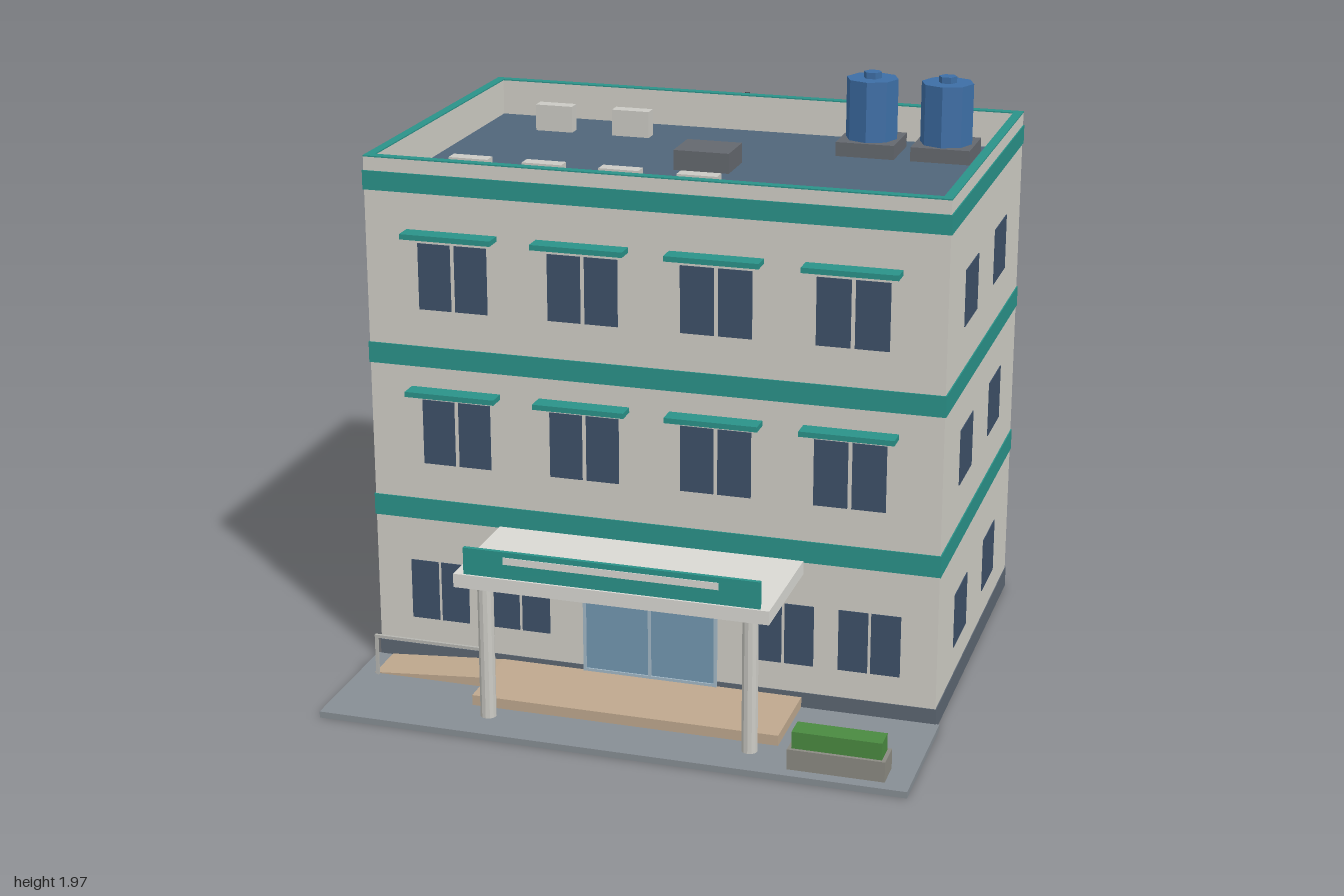
import * as THREE from 'three';

const mat = (color) => new THREE.MeshStandardMaterial({ color, flatShading: true });
const M = {
  wall: mat(0xd0cec6), teal: mat(0x2a9289), dark: mat(0x5c6672), glass: mat(0x3d5068),
  roof: mat(0x50667a), slab: mat(0x878e94), white: mat(0xd9d8d3), tan: mat(0xbfa88e),
  tank: mat(0x3d6ea5), block: mat(0x64686e), unit: mat(0xcbcac4), fan: mat(0x8a8d8e),
  door: mat(0x70777c), entry: mat(0x7397b0), frame: mat(0xa3b8c6), pipe: mat(0x45494e),
  planter: mat(0x8b8a82), hedge: mat(0x4a8a40), metal: mat(0xb5b5b0),
};
// Building footprint
const HX = 0.985, ZF = 0.41, ZB = -0.86, ZC = (ZF + ZB) / 2, TOP = 1.81, ROOF = 1.68;

export function createModel() {
  const root = new THREE.Group();

  const add = (name, geo, material) => {
    const mesh = new THREE.Mesh(geo, material);
    mesh.name = name;
    root.add(mesh);
    return mesh;
  };
  // Box given by its extents on each axis
  const box = (name, material, x0, x1, y0, y1, z0, z1) => {
    const mesh = add(name, new THREE.BoxGeometry(x1 - x0, y1 - y0, z1 - z0), material);
    mesh.position.set((x0 + x1) / 2, (y0 + y1) / 2, (z0 + z1) / 2);
    return mesh;
  };
  const cyl = (name, material, r, sides, x, y0, y1, z, turn = 0) => {
    const mesh = add(name, new THREE.CylinderGeometry(r, r, y1 - y0, sides), material);
    mesh.position.set(x, (y0 + y1) / 2, z);
    mesh.rotation.y = turn;
    return mesh;
  };
  // Rectangular ring around the footprint, from y0 to y1
  const ring = (name, material, y0, y1, out, inset) => {
    const rect = (Cls, off) => {
      const w = HX + off, d = (ZF - ZB) / 2 + off;
      return new Cls([[-w, -d], [w, -d], [w, d], [-w, d]].map(([x, y]) => new THREE.Vector2(x, y)));
    };
    const shape = rect(THREE.Shape, out);
    shape.holes.push(rect(THREE.Path, -inset));
    const geo = new THREE.ExtrudeGeometry(shape, { depth: y1 - y0, bevelEnabled: false });
    geo.rotateX(-Math.PI / 2);
    add(name, geo, material).position.set(0, y0, ZC);
  };

  // Shell, bands and roof
  ring('walls', M.wall, 0, TOP - 0.004, 0, 0.03);
  ring('parapetCap', M.teal, TOP - 0.004, TOP, 0.001, 0.031);
  ring('plinth', M.dark, 0, 0.075, 0.003, 0.005);
  for (const [y0, y1] of [[0.545, 0.62], [1.095, 1.167], [1.695, 1.76]]) ring('floorBand', M.teal, y0, y1, 0.004, 0.01);
  box('roofDeck', M.roof, -HX + 0.02, HX - 0.02, ROOF - 0.03, ROOF, ZB + 0.02, ZF - 0.02);

  // Front windows in pairs of panes, with sun shades on the upper floors
  const pair = (x, w, gap, y0, y1) => {
    for (const s of [-1, 1]) {
      const c = x + s * (w + gap) / 2;
      box('frontWindow', M.glass, c - w / 2, c + w / 2, y0, y1, ZF - 0.01, ZF + 0.003);
    }
  };
  for (const x of [-0.68, -0.227, 0.227, 0.68]) {
    for (const y of [0.75, 1.297]) {
      pair(x, 0.114, 0.014, y, y + 0.228);
      box('sunShade', M.teal, x - 0.158, x + 0.158, y + 0.255, y + 0.273, ZF, ZF + 0.066);
    }
  }
  for (const x of [-0.757, -0.463, 0.463, 0.757]) pair(x, 0.1, 0.01, 0.175, 0.39);

  // Side and back windows
  for (const y of [0.275, 0.86, 1.41]) {
    for (const s of [-1, 1]) for (const z of [0.03, -0.475]) {
      const x = s * (HX - 0.0035);
      box('sideWindow', M.glass, x - 0.0065, x + 0.0065, y - 0.096, y + 0.096, z - 0.105, z + 0.105);
    }
    for (const x of [-0.68, -0.227, 0.227, 0.68]) {
      if (y < 0.5 && x > 0.5) continue;
      box('backWindow', M.glass, x - 0.105, x + 0.105, y - 0.096, y + 0.096, ZB - 0.003, ZB + 0.01);
    }
  }

  // Back door, drain pipe and wall mounted cooling units
  for (const s of [-1, 1]) box('backDoorLeaf', M.door, 0.715 + s * 0.063 - 0.058, 0.715 + s * 0.063 + 0.058, 0.015, 0.37, ZB - 0.006, ZB + 0.01);
  cyl('drainPipe', M.pipe, 0.009, 8, -0.027, 0, TOP, -0.873);
  for (const x of [-0.607, 0.605]) for (const y of [0.635, 1.187]) {
    box('wallUnit', M.unit, x - 0.066, x + 0.066, y, y + 0.09, -0.913, ZB);
    box('wallUnitGrille', M.fan, x - 0.035, x + 0.035, y + 0.015, y + 0.075, -0.915, -0.91);
  }

  // Roof equipment
  for (const [x, z] of [[-0.68, -0.635], [-0.39, -0.635], [-0.69, 0.195], [-0.43, 0.195], [-0.163, 0.195], [0.105, 0.195]])
    box('roofUnit', M.unit, x - 0.069, x + 0.069, ROOF, ROOF + 0.095, z - 0.025, z + 0.025);
  box('roofHatch', M.block, -0.1, 0.097, ROOF, ROOF + 0.07, -0.358, -0.19);
  for (const x of [0.487, 0.753]) {
    box('tankBase', M.block, x - 0.104, x + 0.104, ROOF, 1.73, -0.753, -0.543);
    cyl('waterTank', M.tank, 0.092, 8, x, 1.73, 1.943, -0.648);
    cyl('tankLid', M.tank, 0.032, 6, x, 1.943, 1.965, -0.648, Math.PI / 6);
  }

  // Forecourt, entrance step and ramp
  box('forecourt', M.slab, -1, 1, 0, 0.022, ZF, 0.91);
  box('entranceStep', M.tan, -0.53, 0.53, 0.02, 0.058, ZF, 0.715);
  const slope = new THREE.Shape();
  slope.moveTo(-0.943, 0.021);
  slope.lineTo(-0.53, 0.021);
  slope.lineTo(-0.53, 0.057);
  slope.lineTo(-0.943, 0.024);
  slope.closePath();
  add('ramp', new THREE.ExtrudeGeometry(slope, { depth: 0.162, bevelEnabled: false }), M.tan).position.z = ZF;

  // Ramp handrail
  for (const x of [-0.93, -0.543]) box('railPost', M.metal, x - 0.005, x + 0.005, 0.02, 0.17, 0.573, 0.583);
  box('handrail', M.metal, -0.935, -0.538, 0.16, 0.17, 0.573, 0.583);

  // Glazed entrance with frame bars
  box('entranceGlass', M.entry, -0.235, 0.235, 0.058, 0.457, ZF - 0.01, ZF + 0.006);
  for (const x of [-0.231, 0, 0.231]) box('entranceMullion', M.frame, x - 0.005, x + 0.005, 0.058, 0.457, ZF, ZF + 0.012);
  for (const y of [0.063, 0.385, 0.452]) box('entranceTransom', M.frame, -0.235, 0.235, y - 0.005, y + 0.005, ZF, ZF + 0.011);

  // Porch roof, columns and fascia board
  box('porchRoof', M.white, -0.533, 0.53, 0.503, 0.55, ZF, 0.845);
  for (const x of [-0.45, 0.45]) cyl('porchColumn', M.unit, 0.027, 12, x, 0.02, 0.503, 0.773);
  box('fasciaBoard', M.teal, -0.5, 0.498, 0.55, 0.642, 0.823, 0.837);
  box('fasciaStripe', M.white, -0.362, 0.362, 0.6, 0.624, 0.83, 0.84);

  // Planter
  box('planter', M.planter, 0.598, 0.918, 0.02, 0.092, 0.765, 0.867);
  box('hedge', M.hedge, 0.61, 0.905, 0.09, 0.15, 0.777, 0.855);

  return root;
}
